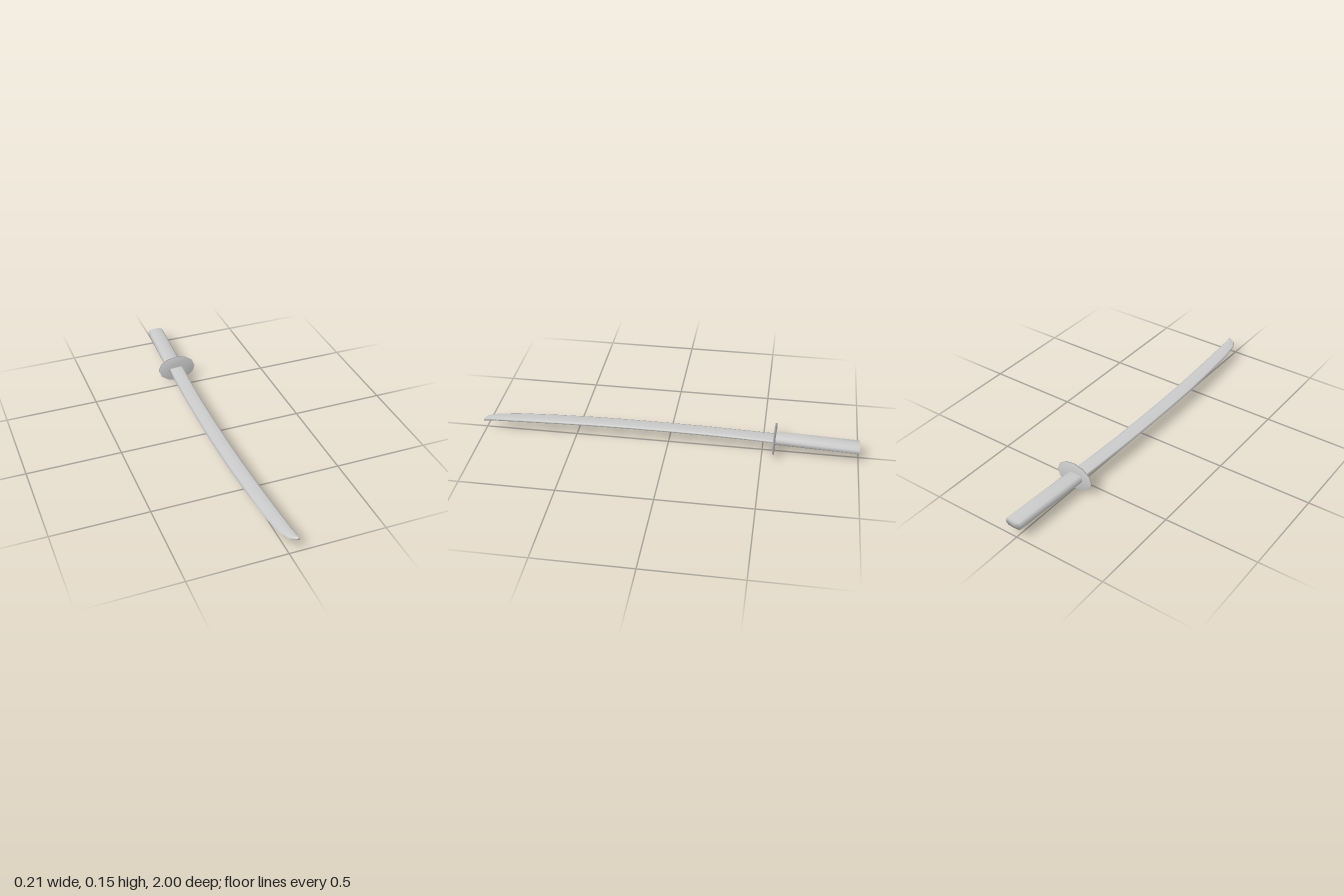
import * as THREE from 'three';

const MID_Y = 0.075;

// Smooth closed loft along z. Section points are (u, v) in -1..1, counter-clockwise seen from +z.
// Each station is [z, xMin, xMax, halfHeight]; slope leans the sections along x.
function loft(name, section, stations, slope = 0) {
  const n = section.length;
  const positions = [];
  const index = [];
  const add = ([z, x0, x1, h], u, v) => {
    const x = (x0 + x1) / 2 + (u * (x1 - x0)) / 2;
    positions.push(x, MID_Y + v * h, z + slope * x);
  };
  for (const s of stations) for (const [u, v] of section) add(s, u, v);
  for (let i = 0; i < stations.length - 1; i++) {
    for (let j = 0; j < n; j++) {
      const a = i * n + j;
      const b = i * n + ((j + 1) % n);
      index.push(a, b, b + n, a, b + n, a + n);
    }
  }
  // End caps as fans round a centre point
  const last = (stations.length - 1) * n;
  const back = stations.length * n;
  add(stations[0], 0, 0);
  add(stations[stations.length - 1], 0, 0);
  for (let j = 0; j < n; j++) {
    const k = (j + 1) % n;
    index.push(back, k, j, back + 1, last + j, last + k);
  }
  const geometry = new THREE.BufferGeometry();
  geometry.setAttribute('position', new THREE.Float32BufferAttribute(positions, 3));
  geometry.setIndex(index);
  geometry.computeVertexNormals();
  const mesh = new THREE.Mesh(geometry, new THREE.MeshStandardMaterial({ color: 0xcccccc }));
  mesh.name = name;
  return mesh;
}

export function createModel() {
  const group = new THREE.Group();
  group.name = 'curvedSword';

  // Blade: sharp edge at -x, rounded spine at +x, curving to a slanted tip
  const bladeSection = [
    [-1, 0], [-0.72, -0.55], [0.1, -0.95], [0.75, -1], [1, -0.5],
    [1, 0.5], [0.75, 1], [0.1, 0.95], [-0.72, 0.55],
  ];
  group.add(loft('blade', bladeSection, [
    [-0.56, -0.05, 0.034, 0.009],
    [-0.4, -0.056, 0.026, 0.009],
    [-0.2, -0.063, 0.019, 0.009],
    [0, -0.066, 0.016, 0.009],
    [0.2, -0.067, 0.016, 0.009],
    [0.4, -0.064, 0.019, 0.009],
    [0.6, -0.055, 0.026, 0.009],
    [0.82, -0.039, 0.037, 0.009],
    [0.93, -0.022, 0.043, 0.009],
    [0.98, 0.003, 0.047, 0.009],
    [0.998, 0.035, 0.049, 0.008],
  ]));

  // Guard: thin twelve-sided oval plate, leaning with the curve of the sword
  const oval = Array.from({ length: 12 }, (_, i) => {
    const a = (i / 12) * Math.PI * 2;
    return [Math.cos(a), Math.sin(a)];
  });
  group.add(loft('guard', oval, [
    [-0.568, -0.05, 0.038, 0.026],
    [-0.566, -0.106, 0.106, 0.075],
    [-0.558, -0.106, 0.106, 0.075],
    [-0.556, -0.05, 0.038, 0.026],
  ], 0.04));

  // Handle: flattened rounded bar
  const gripSection = [
    [1, -0.4], [1, 0.4], [0.72, 0.88], [0, 1], [-0.72, 0.88], [-1, 0.4],
    [-1, -0.4], [-0.72, -0.88], [0, -1], [0.72, -0.88],
  ];
  group.add(loft('handle', gripSection, [
    [-1, -0.032, 0.058, 0.024],
    [-0.78, -0.042, 0.048, 0.024],
    [-0.562, -0.052, 0.037, 0.024],
  ]));

  return group;
}
